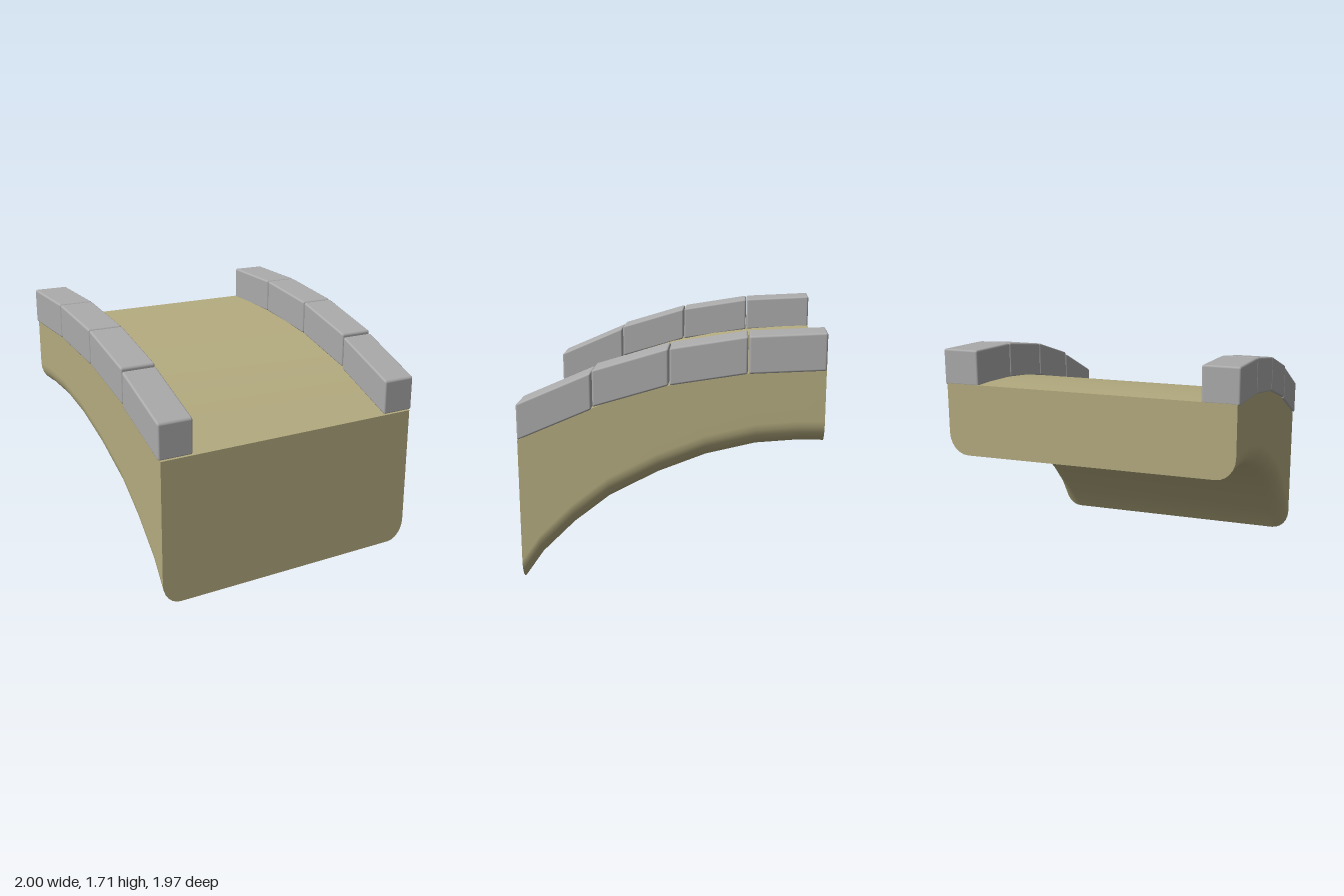
import * as THREE from 'three';
import { RoundedBoxGeometry } from 'three/addons/geometries/RoundedBoxGeometry.js';

const HALF_WIDTH = 0.985;

// Stations along the half arch, front to back: [z, underside y, road y]
const STATIONS = [
  [0.985, 0, 0.985], [0.86, 0.18, 1.045], [0.64, 0.4, 1.145],
  [0.4, 0.59, 1.245], [0.08, 0.76, 1.345], [-0.23, 0.885, 1.41],
  [-0.55, 0.965, 1.452], [-0.82, 0.99, 1.472], [-0.985, 0.99, 1.478],
];

// Kerb stones: [front z, back z, front underside y, back underside y]
const STONES = [
  [0.985, 0.497, 0.988, 1.2], [0.49, 0.003, 1.215, 1.362],
  [-0.003, -0.494, 1.362, 1.442], [-0.5, -0.985, 1.442, 1.468],
];

// U-shaped section with rounded lower corners, from left top to right top
function section(bottom, top) {
  const rx = 0.13, ry = 0.15, steps = 6;
  const half = [[HALF_WIDTH, top]];
  for (let i = 0; i <= steps; i++) {
    const a = (i / steps) * Math.PI / 2;
    half.push([HALF_WIDTH - rx + rx * Math.cos(a), bottom + ry - ry * Math.sin(a)]);
  }
  return [...half, ...half.map(([x, y]) => [-x, y]).reverse()];
}

// Smooth surface through a series of open rings
function loft(rings) {
  const n = rings[0].length, index = [];
  for (let i = 0; i < rings.length - 1; i++) {
    for (let j = 0; j < n - 1; j++) {
      const a = i * n + j, b = a + 1, c = a + n, d = c + 1;
      index.push(a, b, c, b, d, c);
    }
  }
  const geometry = new THREE.BufferGeometry();
  geometry.setAttribute('position', new THREE.Float32BufferAttribute(rings.flat(2), 3));
  geometry.setIndex(index);
  geometry.computeVertexNormals();
  return geometry;
}

function endCap([z, bottom, top], back) {
  const points = section(bottom, top).map(([x, y]) => new THREE.Vector2(x, y));
  const geometry = new THREE.ShapeGeometry(new THREE.Shape(points));
  if (back) geometry.rotateY(Math.PI);
  return geometry.translate(0, 0, z);
}

// Rounded block sheared to follow the slope, keeping its ends vertical
function stoneGeometry([z0, z1, y0, y1]) {
  const height = 0.24, length = z0 - z1;
  const shear = new THREE.Matrix4().set(
    1, 0, 0, 0,
    0, 1, (y0 - y1) / length, (y0 + y1 + height) / 2,
    0, 0, 1, (z0 + z1) / 2,
    0, 0, 0, 1);
  return new RoundedBoxGeometry(0.244, height, length, 2, 0.014).applyMatrix4(shear);
}

export function createModel() {
  const sandstone = new THREE.MeshStandardMaterial({ color: 0xb5ac80 });
  sandstone.name = 'sandstone';
  const greyStone = new THREE.MeshStandardMaterial({ color: 0xacacac });
  greyStone.name = 'greyStone';

  const model = new THREE.Group();
  model.name = 'halfArchBridge';
  const add = (parent, name, geometry, material) => {
    const mesh = new THREE.Mesh(geometry, material);
    mesh.name = name;
    parent.add(mesh);
    return mesh;
  };

  // Arch body
  const arch = new THREE.Group();
  arch.name = 'arch';
  model.add(arch);
  add(arch, 'archSidesAndUnderside',
    loft(STATIONS.map(([z, b, t]) => section(b, t).map(([x, y]) => [x, y, z]))), sandstone);
  add(arch, 'roadSurface',
    loft(STATIONS.map(([z, , t]) => [[-HALF_WIDTH, t, z], [HALF_WIDTH, t, z]])), sandstone);
  add(arch, 'frontEnd', endCap(STATIONS[0], false), sandstone);
  add(arch, 'backEnd', endCap(STATIONS[STATIONS.length - 1], true), sandstone);

  // Kerb stones along both edges
  for (const [side, label] of [[1, 'left'], [-1, 'right']]) {
    const kerb = new THREE.Group();
    kerb.name = label + 'Kerb';
    STONES.forEach((stone, i) => {
      add(kerb, `${label}KerbStone${i + 1}`, stoneGeometry(stone), greyStone).position.x = side * 0.878;
    });
    model.add(kerb);
  }
  return model;
}
